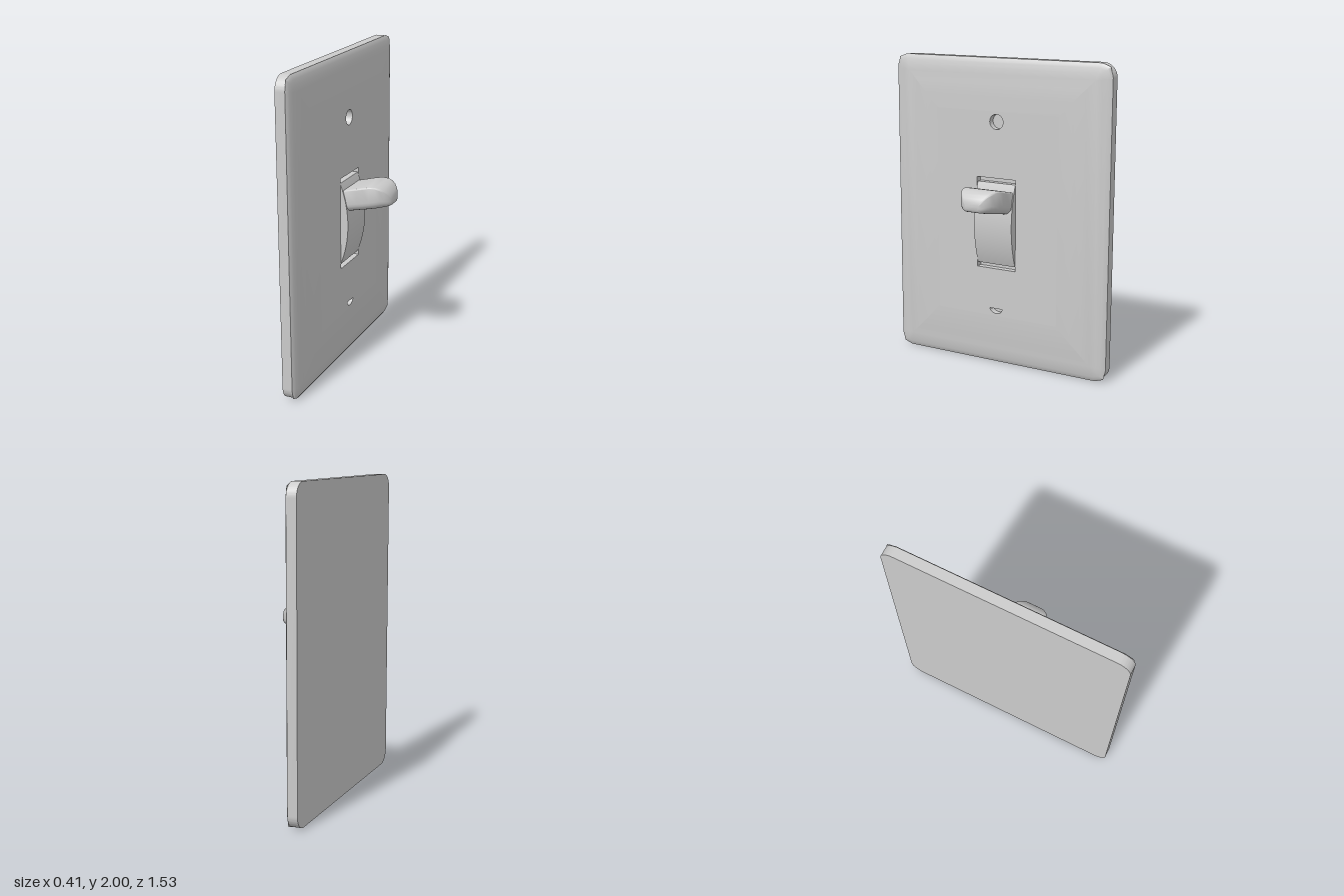
import * as THREE from 'three';
import { toCreasedNormals } from 'three/addons/utils/BufferGeometryUtils.js';

const material = new THREE.MeshStandardMaterial({ color: 0xcccccc });
const HALF_W = 0.765;

// Built facing +z, then the whole group is turned to face +x.
function part(name, geometry, parent) {
  const mesh = new THREE.Mesh(geometry, material);
  mesh.name = name;
  parent.add(mesh);
  return mesh;
}

// Skin a list of equal-length loops of Vector3; optionally close the last one
function loft(loops, crease, cap = false) {
  const n = loops[0].length;
  const points = loops.flat();
  const index = [];
  for (let i = 0; i < loops.length - 1; i++) {
    for (let j = 0; j < n; j++) {
      const a = i * n + j, b = i * n + (j + 1) % n;
      index.push(a, b, b + n, a, b + n, a + n);
    }
  }
  if (cap) {
    const start = (loops.length - 1) * n;
    for (let j = 1; j < n - 1; j++) index.push(start, start + j, start + j + 1);
  }
  const geometry = new THREE.BufferGeometry().setFromPoints(points);
  geometry.setIndex(index);
  return toCreasedNormals(geometry, crease);
}

function roundedRect(x0, x1, y0, y1, r) {
  const s = new THREE.Shape();
  s.absarc(x1 - r, y1 - r, r, 0, Math.PI / 2);
  s.absarc(x0 + r, y1 - r, r, Math.PI / 2, Math.PI);
  s.absarc(x0 + r, y0 + r, r, Math.PI, Math.PI * 1.5);
  s.absarc(x1 - r, y0 + r, r, Math.PI * 1.5, Math.PI * 2);
  return s;
}

function rect(x0, x1, y0, y1, Type = THREE.Shape) {
  return new Type([[x0, y0], [x1, y0], [x1, y1], [x0, y1]].map(p => new THREE.Vector2(...p)));
}

// Outline of the cover at a given inset; the clipped corners sharpen inward
function coverLoop([inset, z]) {
  const a = HALF_W - inset, b = 1 - inset;
  const k = Math.max(0.02, 1 - inset / 0.1);
  const corner = [[a, b - 0.09 * k], [a - 0.015 * k, b - 0.02 * k], [a - 0.07 * k, b]];
  const loop = [];
  for (const [sx, sy] of [[1, 1], [-1, 1], [-1, -1], [1, -1]]) {
    const ordered = sx * sy > 0 ? corner : [...corner].reverse();
    for (const [x, y] of ordered) loop.push(new THREE.Vector3(sx * x, 1 + sy * y, z));
  }
  return loop;
}

// Lever cross-section: crisp upper edges, rounded lower edges
function leverLoop([z, bottom, top, w]) {
  const h = top - bottom;
  const r = Math.min(0.05, h * 0.4), t = Math.min(0.012, h * 0.15);
  const loop = [];
  const corners = [[1, 1, t], [-1, 1, t], [-1, -1, r], [1, -1, r]];
  corners.forEach(([sx, sy, rad], q) => {
    for (let i = 0; i <= 5; i++) {
      const angle = (q + i / 5) * Math.PI / 2;
      loop.push(new THREE.Vector3(
        sx * (w - rad) + rad * Math.cos(angle),
        (sy > 0 ? top - rad : bottom + rad) + rad * Math.sin(angle), z));
    }
  });
  return loop;
}

export function createModel() {
  const model = new THREE.Group();
  model.name = 'wallSwitch';
  const body = new THREE.Group();
  body.name = 'switchBody';
  body.rotation.y = Math.PI / 2;
  model.add(body);

  // Flat backing with rounded corners
  const base = new THREE.ExtrudeGeometry(roundedRect(-HALF_W, HALF_W, 0, 2, 0.09),
    { depth: 0.064, bevelEnabled: false, curveSegments: 10 });
  base.translate(0, 0, -0.21);
  part('backPlate', toCreasedNormals(base, 0.5), body);

  // Domed, hipped border of the cover
  const border = [[0.1, -0.147], [0, -0.147], [0.012, -0.139], [0.03, -0.133], [0.06, -0.127],
    [0.1, -0.121], [0.16, -0.114], [0.24, -0.107], [0.33, -0.103]];
  part('coverBorder', loft(border.map(coverLoop), 0.35), body);

  // Centre of the cover with the switch slot and two screw holes
  const panel = rect(-0.435, 0.435, 0.33, 1.67);
  panel.holes.push(rect(-0.14, 0.14, 0.65, 1.245, THREE.Path));
  const upper = new THREE.Path();
  upper.absarc(0, 1.605, 0.048, 0, Math.PI * 2);
  const lower = new THREE.Path();
  lower.absellipse(0, 0.38, 0.045, 0.033, Math.PI, Math.PI * 2);
  lower.closePath();
  panel.holes.push(upper, lower);
  const centre = new THREE.ExtrudeGeometry(panel,
    { depth: 0.045, bevelEnabled: false, curveSegments: 16 });
  centre.translate(0, 0, -0.148);
  part('coverCentre', toCreasedNormals(centre, 0.5), body);

  // Curved barrel in the slot, drawn in profile and extruded sideways
  const barrel = new THREE.Shape();
  const radius = 0.72, half = 0.268;
  barrel.moveTo(-0.16, 0.947 - half);
  const sweep = Math.asin(half / radius);
  barrel.absarc(-0.055 - radius, 0.947, radius, -sweep, sweep);
  barrel.lineTo(-0.16, 0.947 + half);
  const barrelGeometry = new THREE.ExtrudeGeometry(barrel,
    { depth: 0.272, bevelEnabled: false, curveSegments: 24 });
  barrelGeometry.translate(0, 0, -0.136);
  barrelGeometry.rotateY(-Math.PI / 2);
  part('switchBarrel', toCreasedNormals(barrelGeometry, 0.5), body);

  // Lever: depth, lower edge, upper edge, half width
  const stations = [[-0.1, 1.02, 1.165, 0.13], [-0.06, 1.03, 1.175, 0.13],
    [0, 1.043, 1.191, 0.13], [0.04, 1.051, 1.201, 0.13], [0.08, 1.059, 1.208, 0.127],
    [0.115, 1.066, 1.208, 0.121], [0.145, 1.072, 1.201, 0.11], [0.17, 1.077, 1.187, 0.095],
    [0.188, 1.082, 1.167, 0.077], [0.199, 1.088, 1.148, 0.06], [0.205, 1.1, 1.13, 0.045]];
  part('lever', loft(stations.map(leverLoop), 0.6, true), body);

  return model;
}
